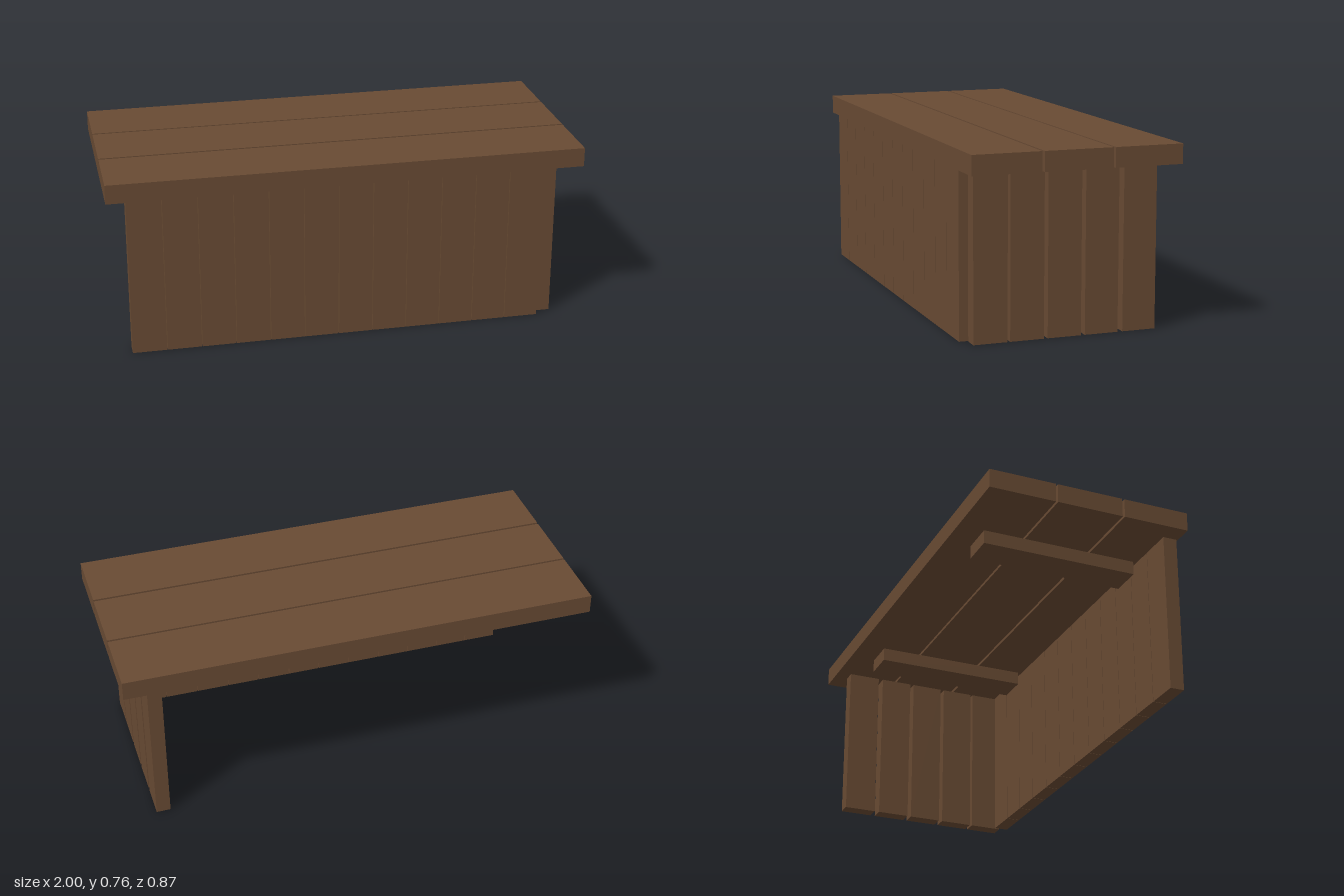
import * as THREE from 'three';

export function createModel() {
  const model = new THREE.Group();
  const wood = new THREE.MeshStandardMaterial({ color: 0x684a33 });
  wood.name = 'brown wood';

  // A board given by its extents along each axis
  const board = (name, [x0, x1], [y0, y1], [z0, z1]) => {
    const mesh = new THREE.Mesh(new THREE.BoxGeometry(x1 - x0, y1 - y0, z1 - z0), wood);
    mesh.position.set((x0 + x1) / 2, (y0 + y1) / 2, (z0 + z1) / 2);
    mesh.name = name;
    model.add(mesh);
  };

  // Counter top: three long boards
  for (const z of [[0.152, 0.437], [-0.143, 0.142], [-0.437, -0.152]]) {
    board('topBoard', [-1, 1], [0.68, 0.761], z);
  }

  // Cross battens under the top
  for (const x of [[-0.68, -0.537], [0.513, 0.656]]) {
    board('crossBatten', x, [0.621, 0.6795], [-0.325, 0.354]);
  }

  const plankHeight = [0, 0.677];

  // Front wall: twelve upright planks
  for (let i = 0; i < 12; i++) {
    const x = -0.92 + i * 0.1457;
    board('frontPlank', [x, x + 0.143], plankHeight, [0.368, 0.428]);
  }

  // Side wall on the left end only: five unevenly spaced planks
  for (const z of [0.252, 0.1, -0.057, -0.215, -0.377]) {
    board('sidePlank', [0.835, 0.895], plankHeight, [z, z + 0.141]);
  }

  return model;
}
